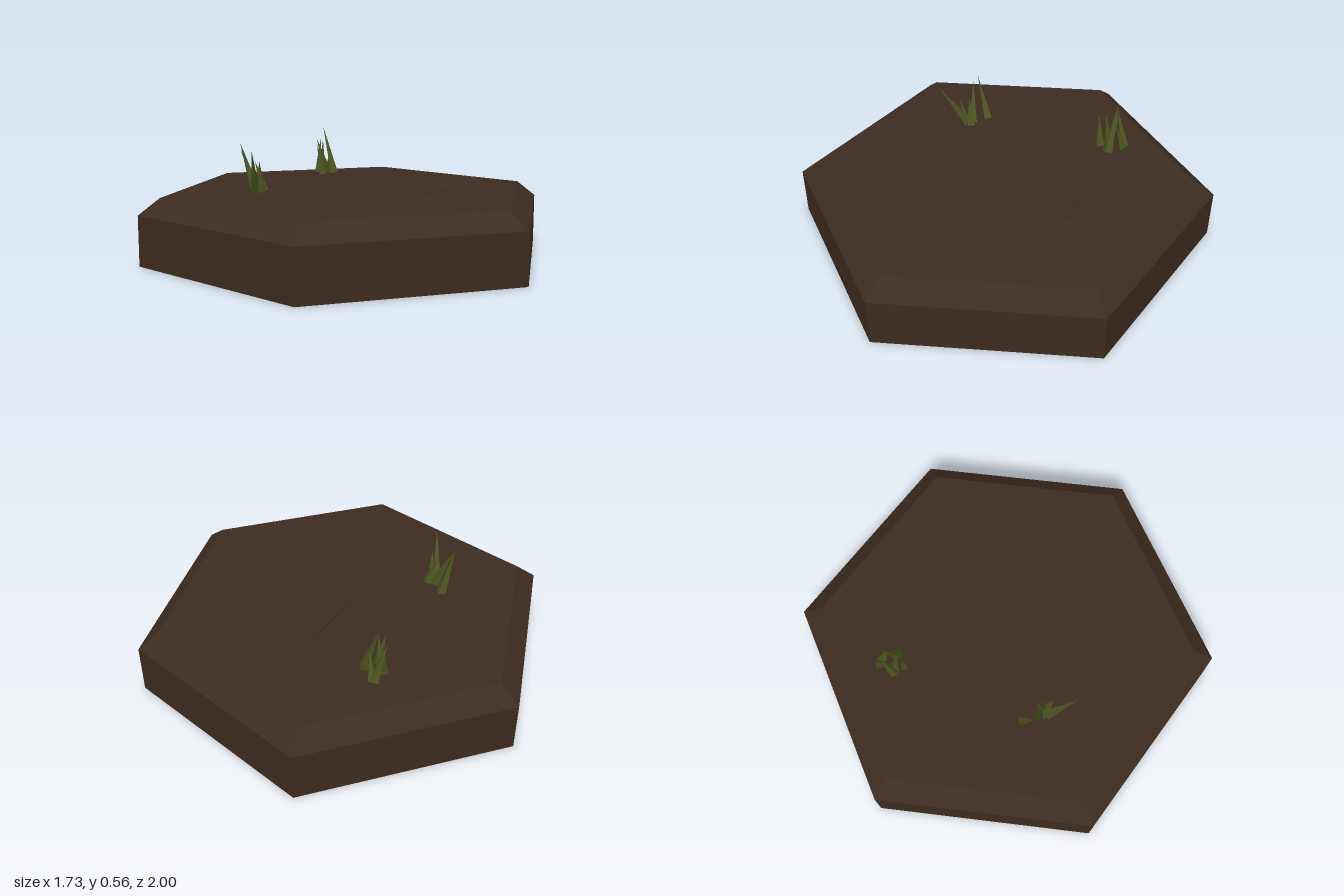
import * as THREE from 'three';

const soil = new THREE.MeshStandardMaterial({ color: 0x3d2b1f, flatShading: true });
soil.name = 'soil brown';
const grass = new THREE.MeshStandardMaterial({ color: 0x4b5320, flatShading: true });
grass.name = 'grass green';

const UP = new THREE.Vector3(0, 1, 0);

// Thin cone standing on the ground at (x, z) and leaning to its tip
function blade([x, z], tip) {
  const base = new THREE.Vector3(x, 0.322, z);
  const dir = new THREE.Vector3(...tip).sub(base);
  const geo = new THREE.ConeGeometry(0.026, dir.length(), 4);
  geo.translate(0, dir.length() / 2, 0);
  const mesh = new THREE.Mesh(geo, grass);
  mesh.position.copy(base);
  mesh.quaternion.setFromUnitVectors(UP, dir.normalize());
  mesh.name = 'grassBlade';
  return mesh;
}

function tuft(name, blades) {
  const group = new THREE.Group();
  group.name = name;
  blades.forEach(([base, tip]) => group.add(blade(base, tip)));
  return group;
}

// Low faceted mound: rings of the same outline shrinking towards a peak
function moundGeometry(outline, peak, rings) {
  const pos = [];
  const at = ([x, z], [s, y]) => [peak[0] + (x - peak[0]) * s, y, peak[1] + (z - peak[1]) * s];
  outline.forEach((p, i) => {
    const q = outline[(i + 1) % outline.length];
    for (let k = 0; k < rings.length - 1; k++) {
      const a = at(p, rings[k]), b = at(q, rings[k]);
      const c = at(q, rings[k + 1]), d = at(p, rings[k + 1]);
      pos.push(...a, ...b, ...c, ...a, ...c, ...d);
    }
  });
  const geo = new THREE.BufferGeometry();
  geo.setAttribute('position', new THREE.Float32BufferAttribute(pos, 3));
  geo.computeVertexNormals();
  return geo;
}

export function createModel() {
  const model = new THREE.Group();
  model.name = 'hexGroundTile';

  // Six-sided tile with a bevelled upper edge
  const profile = [[0, 0], [1, 0], [1, 0.235], [0.9, 0.31], [0, 0.31]]
    .map(([r, y]) => new THREE.Vector2(r, y));
  const tile = new THREE.Mesh(new THREE.LatheGeometry(profile, 6), soil);
  tile.name = 'tile';
  model.add(tile);

  // Flat mound of earth
  const outline = [[-0.07, 0.335], [0.3, 0.395], [0.43, 0.3], [0.54, 0.155], [0.33, -0.11], [-0.06, -0.01]];
  const mound = new THREE.Mesh(
    moundGeometry(outline, [0.25, 0.15], [[1, 0.309], [0.99, 0.316], [0.55, 0.328], [0, 0.333]]), soil);
  mound.name = 'earthMound';
  model.add(mound);

  // Two tufts of grass
  model.add(tuft('rightTuft', [
    [[-0.40, -0.23], [-0.50, 0.525, -0.14]],
    [[-0.33, -0.315], [-0.40, 0.54, -0.33]],
    [[-0.37, -0.24], [-0.415, 0.51, -0.31]],
    [[-0.36, -0.21], [-0.39, 0.46, -0.24]],
    [[-0.38, -0.21], [-0.41, 0.47, -0.19]],
  ]));
  model.add(tuft('leftTuft', [
    [[0.27, -0.435], [0.245, 0.48, -0.455]],
    [[0.33, -0.41], [0.33, 0.565, -0.49]],
    [[0.29, -0.49], [0.33, 0.50, -0.51]],
    [[0.37, -0.50], [0.31, 0.50, -0.52]],
    [[0.37, -0.49], [0.345, 0.45, -0.45]],
    [[0.30, -0.47], [0.285, 0.50, -0.45]],
  ]));
  return model;
}
